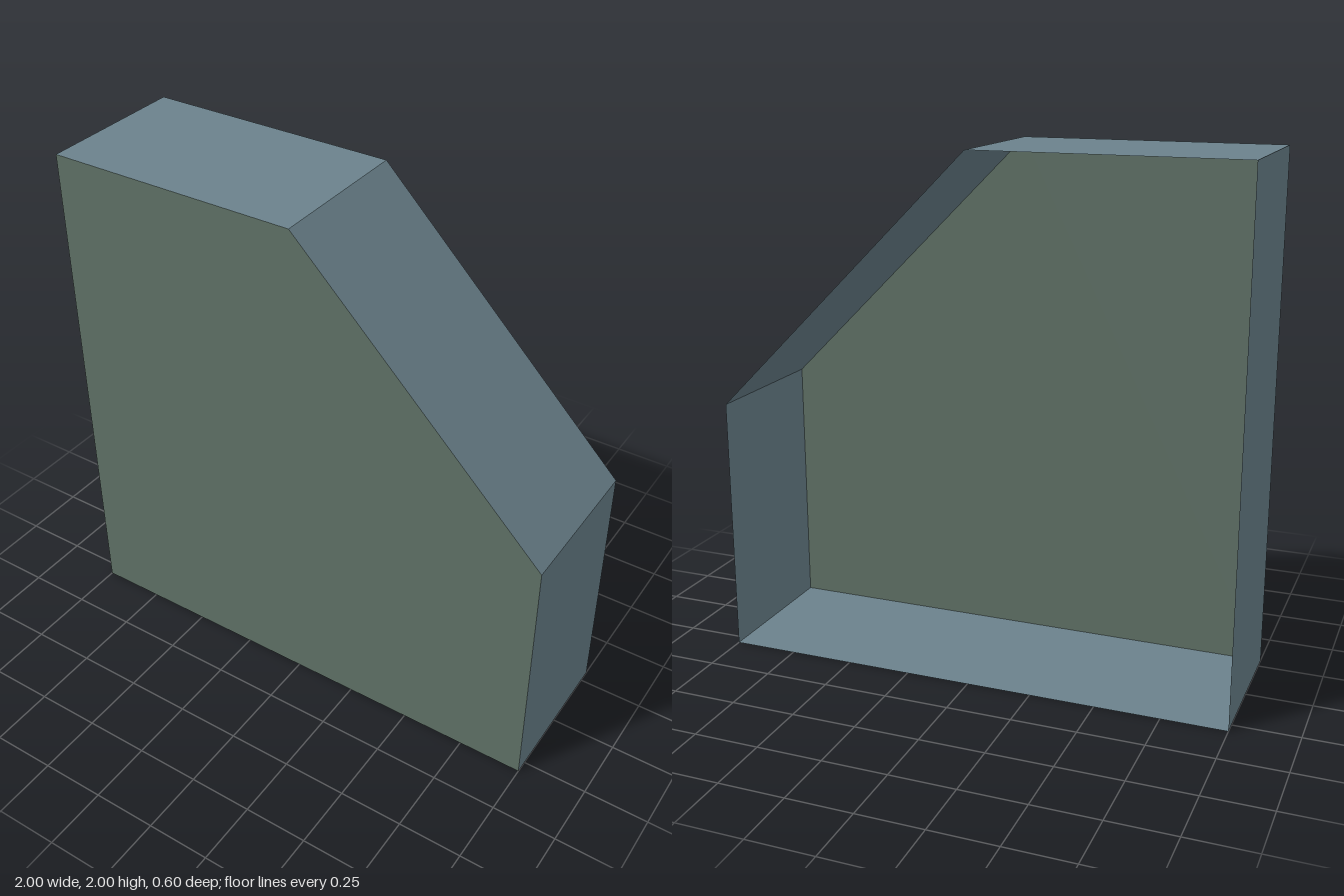
import * as THREE from 'three';

export function createModel() {
  const group = new THREE.Group();
  const green = new THREE.MeshStandardMaterial({ color: 0x5f7166, side: THREE.DoubleSide });
  green.name = 'mossGreen';
  const blue = new THREE.MeshStandardMaterial({ color: 0x6b828c, side: THREE.DoubleSide });
  blue.name = 'slateBlue';

  const depth = 0.6;
  // Square outline with one corner cut off, counter-clockwise
  const outline = [[-1, 0], [1, 0], [1, 1], [0, 2], [-1, 2]].map(([x, y]) => new THREE.Vector2(x, y));
  const wallNames = ['floor', 'leftWall', 'slopedWall', 'top', 'rightWall'];

  // Front panel
  const front = new THREE.Mesh(new THREE.ShapeGeometry(new THREE.Shape(outline)), green);
  front.name = 'frontPanel';
  front.position.z = depth / 2;
  group.add(front);

  // One thin wall along each edge of the outline; the back stays open
  outline.forEach((a, i) => {
    const b = outline[(i + 1) % outline.length];
    const geometry = new THREE.PlaneGeometry(a.distanceTo(b), depth);
    geometry.rotateX(Math.PI / 2); // normal faces outward (-y) before turning
    const wall = new THREE.Mesh(geometry, blue);
    wall.name = wallNames[i];
    wall.position.set((a.x + b.x) / 2, (a.y + b.y) / 2, 0);
    wall.rotation.z = Math.atan2(b.y - a.y, b.x - a.x);
    group.add(wall);
  });

  return group;
}
